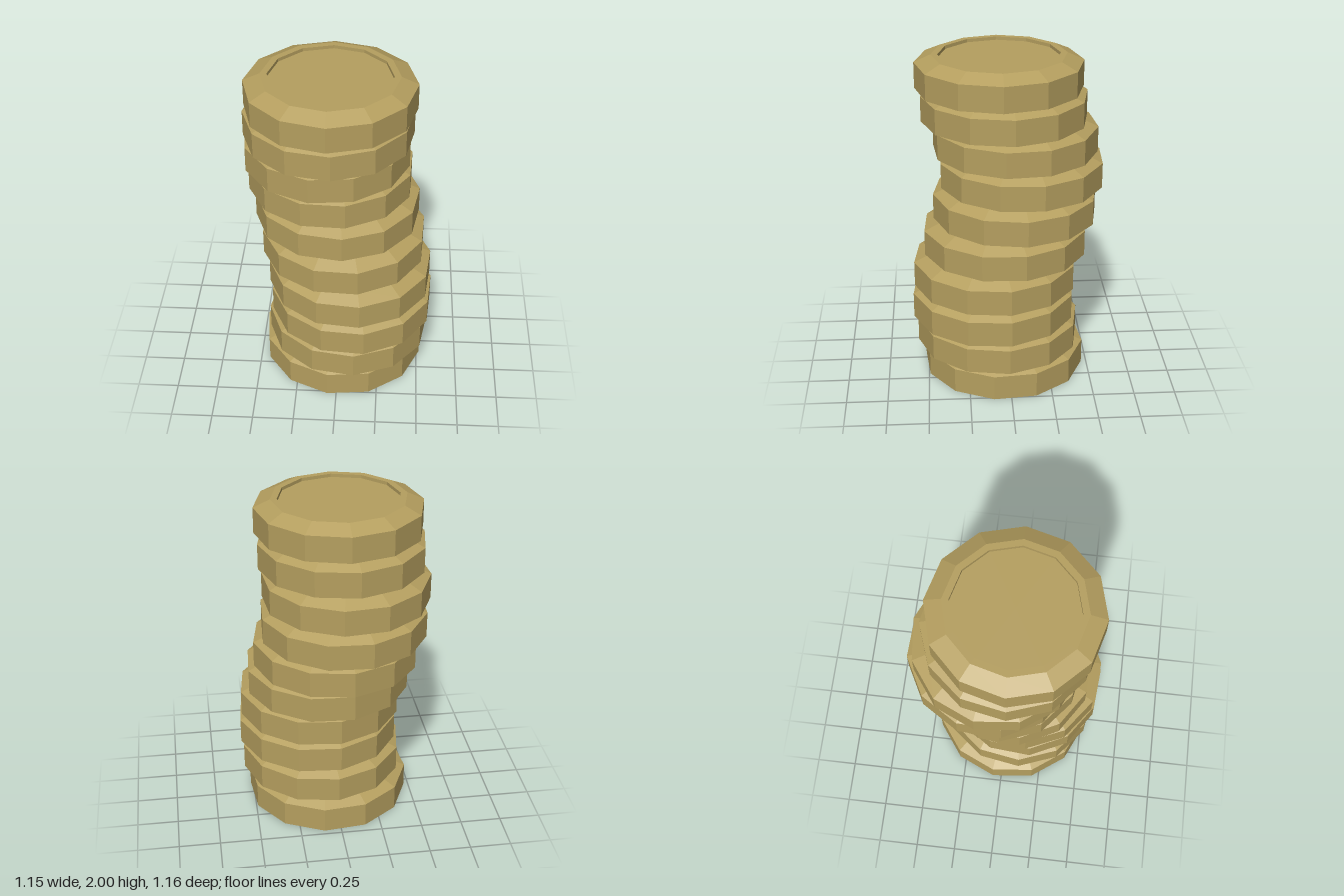
import * as THREE from 'three';

// One coin: 12-sided, bevelled top edge, flat rim and a shallow recess
const COIN_HEIGHT = 0.2;
const PROFILE = [
  [0, 0], [0.5, 0], [0.5, 0.155], [0.4, 0.2], [0.36, 0.2], [0.36, 0.18], [0, 0.18],
].map(([r, y]) => new THREE.Vector2(r, y));

// Each coin from the bottom up: x offset, z offset, turn in degrees
const COINS = [
  [0.023, 0.025, -9.2],
  [0.058, 0.062, 5.7],
  [0.08, 0.09, 10.3],
  [0.067, 0.078, 8.5],
  [0.025, 0.016, 11.8],
  [-0.017, -0.049, 5.5],
  [-0.06, -0.09, 12.3],
  [-0.082, -0.053, -9.2],
  [-0.066, 0.011, 4.2],
  [-0.053, 0.042, 0],
];

export function createModel() {
  const group = new THREE.Group();
  group.name = 'coinStack';

  const gold = new THREE.MeshStandardMaterial({ color: 0xb59f5f });
  gold.name = 'dull gold';
  gold.flatShading = true;

  const coinGeometry = new THREE.LatheGeometry(PROFILE, 12);

  COINS.forEach(([x, z, turn], i) => {
    const coin = new THREE.Mesh(coinGeometry, gold);
    coin.name = `coin${i + 1}`;
    coin.position.set(x, i * COIN_HEIGHT, z);
    coin.rotation.y = THREE.MathUtils.degToRad(turn);
    group.add(coin);
  });

  return group;
}
